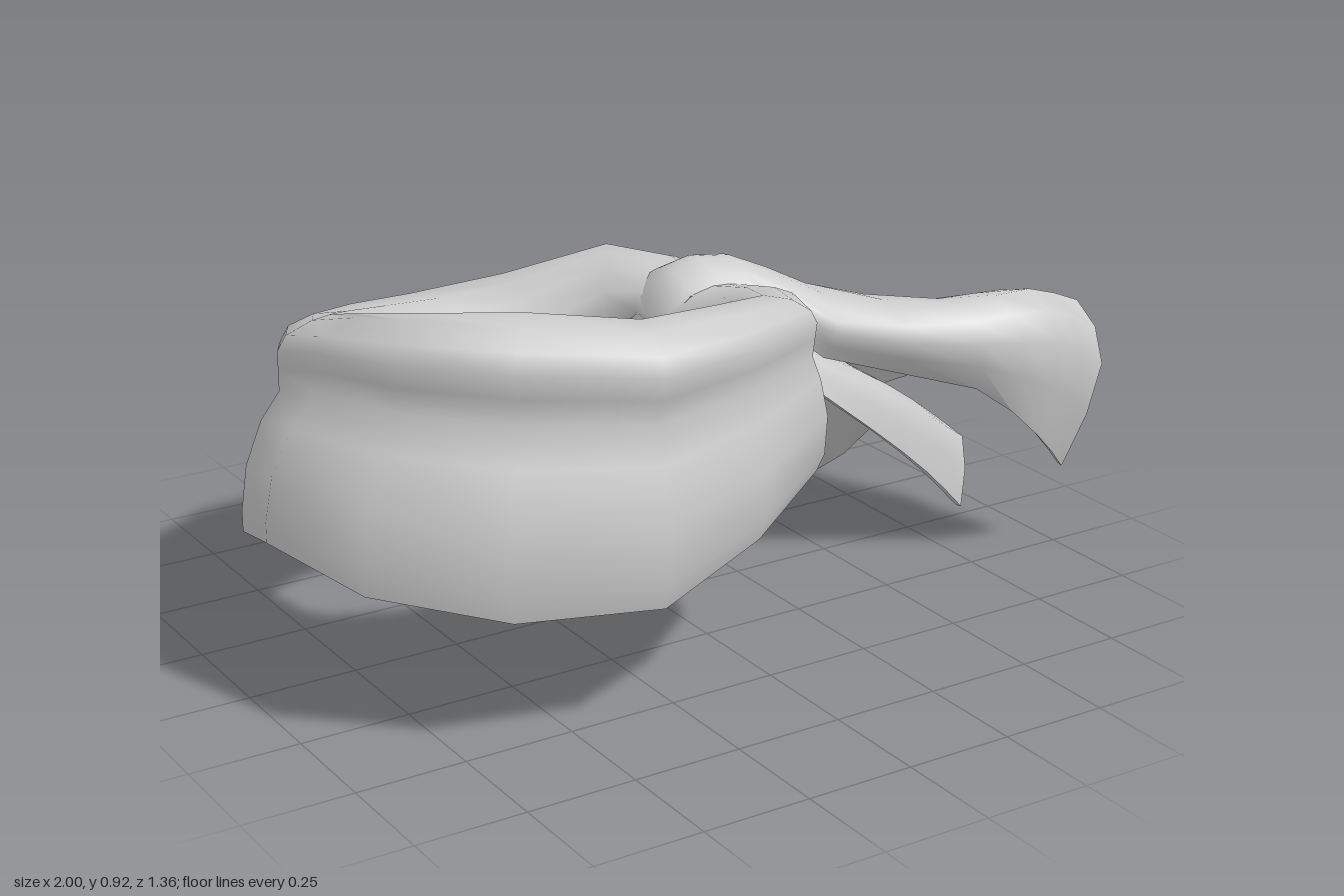
import * as THREE from 'three';
import { toCreasedNormals } from 'three/addons/utils/BufferGeometryUtils.js';

const cloth = new THREE.MeshStandardMaterial({ color: 0xcccccc, side: THREE.DoubleSide });
cloth.name = 'grey cloth';

// Skin a list of closed cross-sections; optionally join the last to the first.
function loft(sections, closed) {
  const n = sections[0].length, m = sections.length, index = [];
  for (let i = 0; i < (closed ? m : m - 1); i++) {
    for (let j = 0; j < n; j++) {
      const k = (j + 1) % n, r = i * n, s = ((i + 1) % m) * n;
      index.push(r + j, s + j, r + k, s + j, s + k, r + k);
    }
  }
  const geometry = new THREE.BufferGeometry();
  geometry.setAttribute('position', new THREE.Float32BufferAttribute(sections.flat(2), 3));
  geometry.setIndex(index);
  return toCreasedNormals(geometry, 1.2);
}

// Run a smooth curve through points, doubling the number of spans.
const smooth = points => new THREE.CatmullRomCurve3(points).getPoints((points.length - 1) * 2);
const transpose = grid => grid[0].map((_, j) => grid.map(row => row[j]));

// Smooth a sheet of rows, give it some thickness and close its two ends.
function clothSheet(rows, thickness) {
  const across = rows.map(r => smooth(r.map(c => new THREE.Vector3(...c))));
  const p = transpose(transpose(across).map(smooth));
  const at = (i, j) => p[Math.min(Math.max(i, 0), p.length - 1)][Math.min(Math.max(j, 0), p[0].length - 1)];
  const section = (i, t) => {
    const top = p[i].map(v => v.toArray());
    const under = p[i].map((v, j) => {
      const du = at(i + 1, j).clone().sub(at(i - 1, j));
      const dv = at(i, j + 1).clone().sub(at(i, j - 1));
      return v.clone().addScaledVector(du.cross(dv).normalize(), -t).toArray();
    });
    return [...top, ...under.reverse()];
  };
  const last = p.length - 1;
  return loft([section(0, 0), ...p.map((_, i) => section(i, thickness)), section(last, 0)], false);
}

// Narrow seven-point row arched across z.
function narrowRow(x, y, zFront, zBack, arch) {
  return Array.from({ length: 7 }, (_, j) => {
    const u = j / 6;
    return [x, y + arch * Math.sin(Math.PI * u), zFront + (zBack - zFront) * u];
  });
}

export function createModel() {
  const group = new THREE.Group();
  const add = (name, geometry) => {
    const mesh = new THREE.Mesh(geometry, cloth);
    mesh.name = name;
    group.add(mesh);
    return mesh;
  };

  // Neck band stations: hem x, hem z, hem y, top y, inner x, inner z, roll, crease and hem insets
  const stations = [
    [0.22, 0.06, 0.55, 0.76, -0.03, 0.08, 0.12, 0.12, 0.08],
    [0.25, 0.28, 0.51, 0.80, -0.03, 0.22, 0.12, 0.12, 0.10],
    [0.13, 0.52, 0.46, 0.85, -0.09, 0.36, 0.12, 0.15, 0.10],
    [-0.10, 0.64, 0.39, 0.88, -0.20, 0.40, 0.12, 0.20, 0.12],
    [-0.37, 0.685, 0.31, 0.89, -0.33, 0.40, 0.11, 0.24, 0.12],
    [-0.70, 0.61, 0.33, 0.93, -0.48, 0.36, 0.17, 0.26, 0.08],
    [-0.92, 0.40, 0.37, 0.91, -0.56, 0.25, 0.28, 0.31, 0.02],
    [-1.00, 0.13, 0.41, 0.86, -0.585, 0.10, 0.33, 0.31, 0],
    [-0.93, -0.15, 0.32, 0.79, -0.56, -0.05, 0.24, 0.24, 0],
    [-0.77, -0.40, 0.22, 0.73, -0.48, -0.14, 0.15, 0.17, 0],
    [-0.57, -0.55, 0.15, 0.69, -0.38, -0.19, 0.11, 0.13, 0.03],
    [-0.39, -0.57, 0.17, 0.68, -0.27, -0.19, 0.09, 0.12, 0.03],
    [-0.12, -0.51, 0.32, 0.70, -0.17, -0.16, 0.07, 0.11, 0.04],
    [0.10, -0.33, 0.45, 0.78, -0.07, -0.08, 0.07, 0.10, 0.05],
    [0.19, -0.15, 0.55, 0.78, -0.03, 0.0, 0.10, 0.10, 0.06]
  ];
  // Fold profile: fraction from hem to inner wall, fraction of height
  const profile = (roll, crease, hem) => [
    [0.24, 0.03], [0.55, 0.2], [0.86, 0.42], [1, 0.64], [0.92, 0.82], [0.74, 0.95], [0.54, 1],
    [roll + 0.2, 0.98], [roll + 0.05, 0.92], [roll, 0.85], [(roll + crease) / 2, 0.76], [crease, 0.66],
    [crease * 0.55, 0.53], [crease * 0.15, 0.32], [hem * 0.4, 0.1], [hem, 0]
  ];
  add('neckBand', loft(stations.map(([hx, hz, hy, ty, ix, iz, roll, crease, hem]) =>
    profile(roll, crease, hem).map(([s, t]) => [hx + (ix - hx) * s, hy + (ty - hy) * t, hz + (iz - hz) * s])), true));

  // Upper tail: wraps up around the band, then fans out
  add('upperTail', clothSheet([
    narrowRow(0.16, 0.54, 0.12, -0.08, 0),
    narrowRow(0.02, 0.55, 0.12, -0.06, 0),
    narrowRow(-0.035, 0.66, 0.12, -0.04, 0),
    narrowRow(0.03, 0.76, 0.13, -0.05, 0.04),
    narrowRow(0.18, 0.715, 0.19, -0.08, 0.095),
    [[0.34, 0.58, 0.20], [0.34, 0.65, 0.25], [0.35, 0.70, 0.23], [0.35, 0.73, 0.11], [0.35, 0.69, 0.0], [0.34, 0.61, -0.10], [0.32, 0.54, -0.15]],
    [[0.66, 0.49, 0.35], [0.64, 0.61, 0.39], [0.62, 0.69, 0.32], [0.62, 0.66, 0.18], [0.62, 0.56, 0.0], [0.60, 0.43, -0.22], [0.55, 0.35, -0.36]],
    [[0.83, 0.35, 0.37], [0.84, 0.59, 0.42], [0.81, 0.70, 0.34], [0.77, 0.63, 0.18], [0.75, 0.50, 0.0], [0.74, 0.36, -0.24], [0.65, 0.27, -0.40]],
    [[0.97, 0.22, 0.30], [0.997, 0.50, 0.39], [0.95, 0.65, 0.345], [0.88, 0.58, 0.16], [0.84, 0.43, 0.0], [0.79, 0.30, -0.22], [0.75, 0.20, -0.385]]
  ], 0.014));

  // Lower tail: emerges beneath and hangs toward the back
  add('lowerTail', clothSheet([
    narrowRow(0.14, 0.61, 0.06, -0.20, 0.03),
    [[0.27, 0.55, 0.08], [0.28, 0.58, 0.05], [0.28, 0.60, 0.0], [0.28, 0.61, -0.06], [0.28, 0.61, -0.13], [0.26, 0.60, -0.21], [0.24, 0.575, -0.29]],
    [[0.56, 0.33, 0.10], [0.57, 0.43, 0.08], [0.55, 0.47, -0.02], [0.53, 0.43, -0.14], [0.50, 0.34, -0.26], [0.47, 0.39, -0.38], [0.42, 0.36, -0.50]],
    [[0.74, 0.18, 0.08], [0.76, 0.31, 0.05], [0.73, 0.35, -0.04], [0.70, 0.29, -0.18], [0.66, 0.15, -0.34], [0.60, 0.25, -0.46], [0.52, 0.20, -0.62]],
    [[0.89, 0.04, 0.03], [0.91, 0.21, 0.0], [0.86, 0.24, -0.09], [0.81, 0.20, -0.23], [0.77, 0.015, -0.42], [0.68, 0.16, -0.55], [0.62, 0.075, -0.69]]
  ], 0.014));

  // Small gathered fold beside the knot
  const fold = add('knotFold', new THREE.SphereGeometry(1, 10, 8));
  fold.scale.set(0.06, 0.045, 0.13);
  fold.position.set(0.18, 0.63, -0.175);
  fold.rotation.x = -0.4;

  return group;
}
